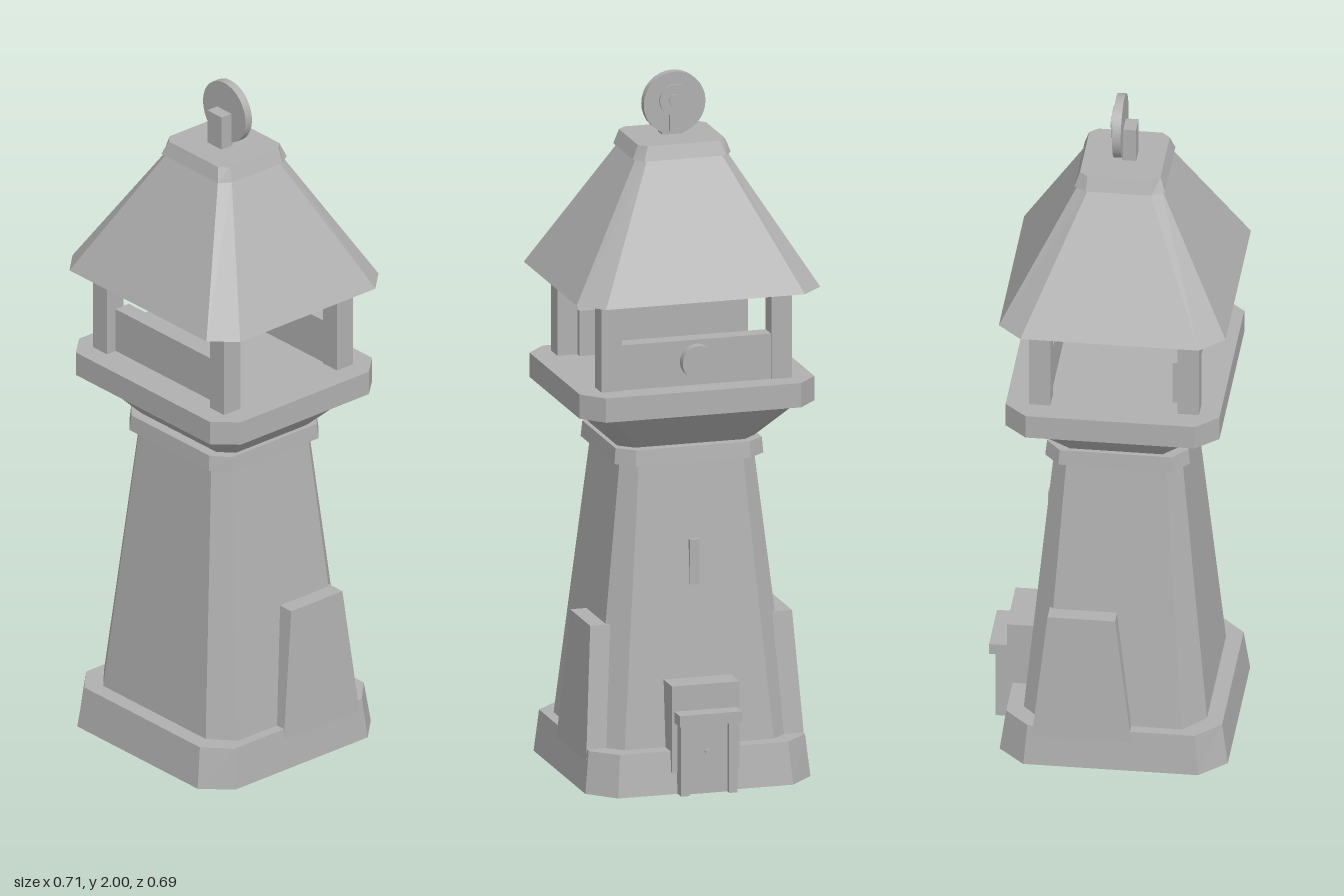
import * as THREE from 'three';

const stone = new THREE.MeshStandardMaterial({ color: 0xb0b0b0, side: THREE.DoubleSide });
stone.name = 'grey stone';
const CZ = 0.025; // the tower axis sits slightly forward of the origin

export function createModel() {
  const model = new THREE.Group();
  model.name = 'watchtower';

  const add = (name, geometry, x = 0, y = 0, z = 0) => {
    const mesh = new THREE.Mesh(geometry, stone);
    mesh.name = name;
    mesh.position.set(x, y, z);
    model.add(mesh);
    return mesh;
  };

  // Box given by its limits
  const box = (name, x0, x1, y0, y1, z0, z1) =>
    add(name, new THREE.BoxGeometry(x1 - x0, y1 - y0, z1 - z0), (x0 + x1) / 2, (y0 + y1) / 2, (z0 + z1) / 2);

  // Disc facing front and back
  const disc = (name, r, y, z0, z1, sides = 32) =>
    add(name, new THREE.CylinderGeometry(r, r, z1 - z0, sides).rotateX(Math.PI / 2), 0, y, (z0 + z1) / 2);

  // Chamfered rectangle: half sizes hx, hz; corners cut back to cx, cz
  const ring = ([y, hx, hz, cx, cz]) => [
    [hx, cz], [hx, -cz], [cx, -hz], [-cx, -hz], [-hx, -cz], [-hx, cz], [-cx, hz], [cx, hz],
  ].map(([x, z]) => [x, y, z]);

  // Flat-sided block between a lower and an upper chamfered rectangle
  const block = (name, lower, upper, openBelow = false) => {
    const a = ring(lower), b = ring(upper), p = [];
    for (let i = 0; i < 8; i++) {
      const j = (i + 1) % 8;
      p.push(a[i], a[j], b[j], a[i], b[j], b[i]);
      p.push([0, upper[0], 0], b[i], b[j]);
      if (!openBelow) p.push([0, lower[0], 0], a[j], a[i]);
    }
    const g = new THREE.BufferGeometry();
    g.setAttribute('position', new THREE.Float32BufferAttribute(p.flat(), 3));
    g.computeVertexNormals();
    return add(name, g, 0, 0, CZ);
  };

  // Tower body, from the ground up
  block('base', [0, 0.328, 0.32, 0.255, 0.245], [0.12, 0.315, 0.303, 0.245, 0.235], true);
  block('shaft', [0.12, 0.285, 0.257, 0.217, 0.195], [0.92, 0.196, 0.18, 0.152, 0.14]);
  block('collar', [0.92, 0.217, 0.203, 0.168, 0.16], [0.965, 0.213, 0.198, 0.165, 0.157]);
  block('corbel', [0.965, 0.2, 0.168, 0.16, 0.13], [1.08, 0.312, 0.272, 0.25, 0.215]);
  block('deck', [1.08, 0.342, 0.3, 0.284, 0.237], [1.15, 0.342, 0.3, 0.284, 0.237]);

  // Corner posts and the two parapets
  for (const x of [-0.248, 0.248])
    for (const z of [-0.18, 0.237]) box('post', x - 0.03, x + 0.03, 1.15, 1.41, z - 0.03, z + 0.03);
  box('frontParapet', -0.22, 0.22, 1.15, 1.28, 0.185, 0.235);
  box('backParapet', -0.22, 0.22, 1.15, 1.28, -0.205, -0.155);
  disc('parapetDisc', 0.048, 1.22, -0.233, -0.2);

  // Roof and cap
  block('roof', [1.41, 0.355, 0.318, 0.29, 0.25], [1.78, 0.13, 0.115, 0.107, 0.085]);
  block('roofCap', [1.775, 0.143, 0.127, 0.12, 0.092], [1.815, 0.127, 0.113, 0.105, 0.09]);

  // Round finial with its support and raised emblem
  box('finialSupport', -0.03, 0.03, 1.81, 1.915, 0.02, 0.06);
  disc('finialWheel', 0.09, 1.91, 0, 0.024);
  disc('finialRing', 0.045, 1.92, -0.008, 0.002);
  disc('finialHub', 0.018, 1.92, -0.013, 0, 20);
  box('finialStem', -0.016, 0.016, 1.83, 1.89, -0.007, 0.002);

  // Tapered buttresses on both sides
  for (const side of [-1, 1]) {
    const g = new THREE.BoxGeometry(1, 1, 1).toNonIndexed();
    const pos = g.attributes.position;
    for (let i = 0; i < pos.count; i++) {
      const top = pos.getY(i) > 0, outer = pos.getX(i) * side > 0;
      const x = outer ? (top ? 0.294 : 0.319) : (top ? 0.235 : 0.25);
      const z = pos.getZ(i) > 0 ? (top ? 0.033 : 0.083) : (top ? -0.156 : -0.198);
      pos.setXYZ(i, side * x, top ? 0.465 : 0.08, z);
    }
    g.computeVertexNormals();
    add('buttress', g);
  }

  // Back doorway
  box('doorSurround', -0.098, 0.098, 0.06, 0.31, -0.294, -0.2);
  box('door', -0.062, 0.062, 0, 0.205, -0.31, -0.28);
  for (const s of [-1, 1]) box('doorJamb', s * 0.07 - 0.012, s * 0.07 + 0.012, 0, 0.205, -0.328, -0.28);
  box('lintel', -0.091, 0.091, 0.205, 0.237, -0.345, -0.285);
  disc('doorKnob', 0.008, 0.12, -0.318, -0.308, 12);

  // Narrow slit on the back wall
  box('windowSlit', -0.014, 0.014, 0.57, 0.7, -0.189, -0.16);

  return model;
}
